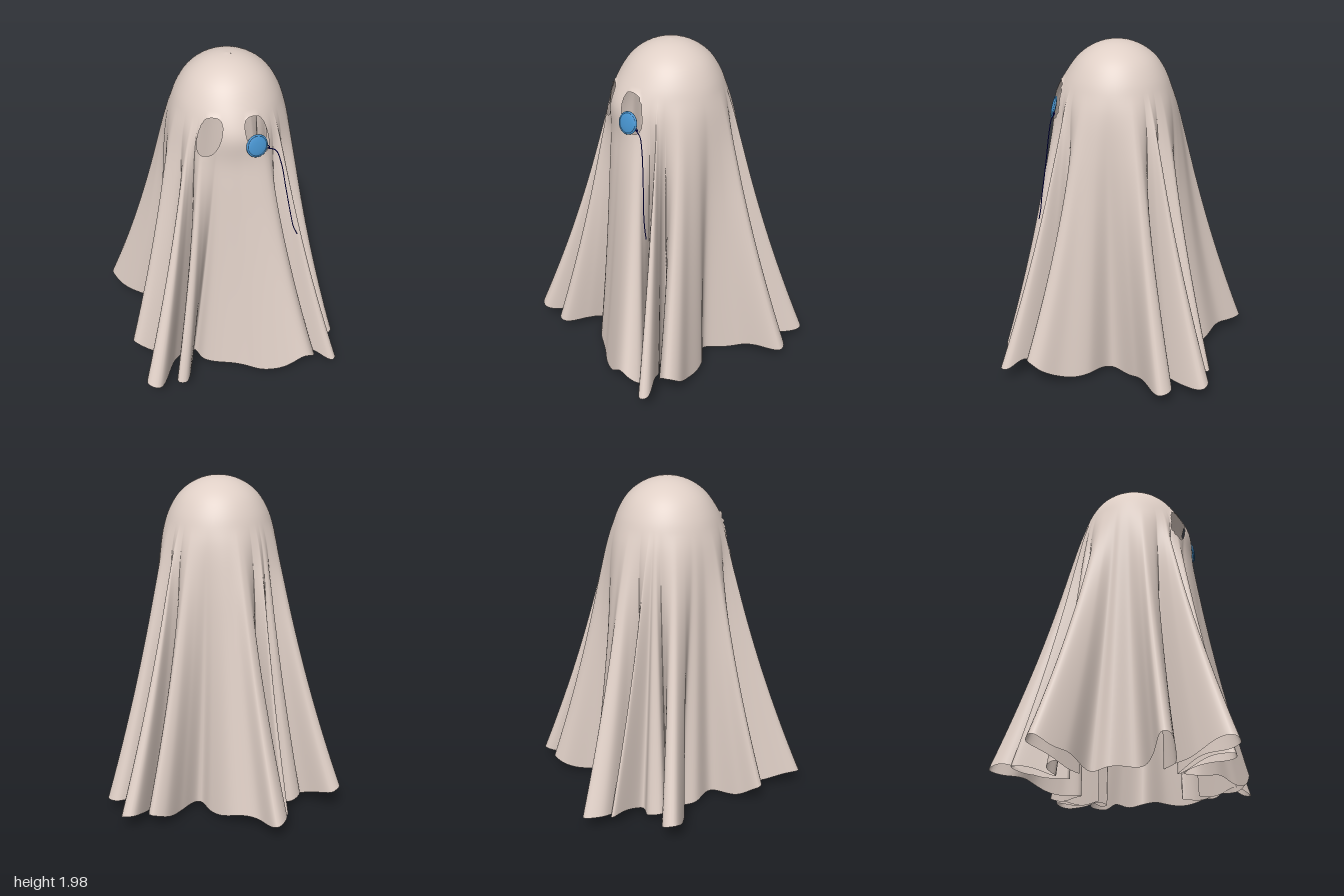
import * as THREE from 'three';

const CX = 0.035, CZ = 0.04, FOLD_TOP = 1.75, HEM_Y = 0.05;
const COLS = 640, ROWS = 80;

// Unfolded body under the folds: radius, height from the crown down
const PROFILE = [
  [0, 2], [0.08, 1.989], [0.16, 1.955], [0.233, 1.895], [0.292, 1.8], [0.325, 1.7],
  [0.343, 1.6], [0.357, 1.4], [0.362, 1.1], [0.362, 0.6], [0.362, HEM_Y],
];

// Outline of the hem seen from above, as x, z pairs, running from +x towards +z
const HEM = [
  0.372, 0.0, 0.52, 0.12, 0.6, 0.27, 0.67, 0.39, 0.65, 0.46, 0.58, 0.46, 0.45, 0.36, 0.32, 0.25, // left panel
  0.36, 0.32, 0.5, 0.42, 0.66, 0.59, 0.64, 0.63, 0.5, 0.54, 0.27, 0.36, // front left fold
  0.43, 0.48, 0.53, 0.56, 0.5, 0.63, 0.4, 0.65, 0.2, 0.61, 0.1, 0.57, -0.05, 0.52, -0.16, 0.45, -0.21, 0.37, // front panel
  -0.24, 0.52, -0.29, 0.67, -0.34, 0.67, -0.33, 0.58, -0.24, 0.34, // front right folds
  -0.34, 0.48, -0.46, 0.72, -0.53, 0.69, -0.45, 0.5, -0.27, 0.27,
  -0.4, 0.37, -0.57, 0.38, -0.6, 0.34, -0.5, 0.27, -0.35, 0.15, // right panel
  -0.41, 0.0, -0.39, -0.1, -0.58, -0.18, -0.71, -0.32, -0.66, -0.37, -0.5, -0.26, -0.34, -0.17, // back right folds
  -0.47, -0.27, -0.42, -0.34, -0.31, -0.32, -0.38, -0.56, -0.36, -0.56, -0.22, -0.27,
  -0.3, -0.45, -0.37, -0.62, -0.31, -0.72, -0.2, -0.6, -0.03, -0.53, 0.08, -0.42, 0.15, -0.32, // back panel
  0.25, -0.43, 0.35, -0.58, 0.43, -0.6, 0.43, -0.45, 0.32, -0.26, // back left folds
  0.42, -0.4, 0.53, -0.61, 0.6, -0.59, 0.5, -0.38, 0.33, -0.21,
  0.5, -0.34, 0.65, -0.41, 0.71, -0.35, 0.5, -0.17,
];

// Places where the hem curls up: x, z, lift
const CURLS = [[0.46, 0.63, 0.08], [0.64, 0.46, 0.08], [-0.71, -0.32, 0.06], [-0.59, 0.36, 0.05], [0.6, -0.58, -0.03]];

// Eye openings: centre x, centre y, slant
const EYES = [[-0.1, 1.665, 0.25], [0.158, 1.665, -0.25]];

function hemPoints() {
  const pts = [];
  for (let i = 0; i < HEM.length; i += 2) pts.push(new THREE.Vector3(HEM[i], 0, HEM[i + 1]));
  const curve = new THREE.CatmullRomCurve3(pts, true, 'centripetal');
  curve.arcLengthDivisions = 3000;
  const hem = curve.getSpacedPoints(COLS).slice(0, COLS);
  hem.forEach((p, j) => {
    const r = Math.hypot(p.x - CX, p.z - CZ);
    p.y = 0.055 + 0.18 * (r - 0.5) + 0.014 * Math.sin(j * Math.PI * 2 * 29 / COLS);
    for (const [x, z, lift] of CURLS) p.y += lift * Math.exp(-((p.x - x) ** 2 + (p.z - z) ** 2) / 0.008);
    p.y = Math.max(p.y, 0.005);
  });
  return hem;
}

// Angle round the head for each hem point, averaged so that the folds gather evenly
function headAngles(hem) {
  const raw = [];
  hem.forEach((p, j) => {
    let a = Math.atan2(p.z - CZ, p.x - CX);
    if (j > 0) a += Math.PI * 2 * Math.round((raw[j - 1] - a) / (Math.PI * 2));
    raw.push(a);
  });
  const W = 40;
  return raw.map((_, j) => {
    let sum = 0;
    for (let k = j - W; k <= j + W; k++) {
      const turn = Math.floor(k / COLS);
      sum += raw[k - turn * COLS] + turn * Math.PI * 2;
    }
    return sum / (2 * W + 1);
  });
}

// Push a point that lies in an eye opening out to its rim
function openEye(p) {
  if (p.z < 0.1) return false;
  for (const [ex, ey, slant] of EYES) {
    const dy = p.y - ey, dx = p.x - ex - slant * dy;
    const d = Math.pow(Math.abs(dx / 0.06) ** 2.6 + Math.abs(dy / 0.11) ** 2.6, 1 / 2.6);
    if (d < 1) {
      const k = 1 / Math.max(d, 0.05);
      p.x = ex + (dx + slant * dy) * k;
      p.y = ey + dy * k;
      return true;
    }
  }
  return false;
}

function sheetGeometry() {
  const hem = hemPoints(), angles = headAngles(hem);
  const profile = new THREE.CatmullRomCurve3(PROFILE.map(([r, y]) => new THREE.Vector3(r, y, 0)))
    .getSpacedPoints(ROWS);
  const pos = [], inside = [], index = [];
  const p = new THREE.Vector3();
  for (const { x: r, y } of profile) {
    // Folds deepen from the shoulders to the hem
    const t = Math.max(0, (FOLD_TOP - y) / (FOLD_TOP - HEM_Y)), f = Math.pow(t, 1.3);
    for (let j = 0; j < COLS; j++) {
      const c = Math.cos(angles[j]), s = Math.sin(angles[j]);
      p.set(
        THREE.MathUtils.lerp(CX + r * c, hem[j].x, f),
        y + (hem[j].y - HEM_Y) * t * t,
        THREE.MathUtils.lerp(CZ + r * s, hem[j].z, f));
      // Slight bulge of the face
      p.z += 0.03 * Math.max(0, s) * Math.exp(-(((p.x - CX) / 0.24) ** 2) - ((p.y - 1.68) / 0.12) ** 2);
      inside.push(openEye(p));
      pos.push(p.x, p.y, p.z);
    }
  }
  const face = (a, b, c) => {
    if (!(inside[a] && inside[b] && inside[c])) index.push(a, b, c);
  };
  for (let i = 0; i < ROWS; i++) {
    for (let j = 0; j < COLS; j++) {
      const k = (j + 1) % COLS;
      const a = i * COLS + j, b = i * COLS + k, c = a + COLS, d = b + COLS;
      if (i > 0) face(a, b, c);
      face(b, d, c);
    }
  }
  const g = new THREE.BufferGeometry();
  g.setAttribute('position', new THREE.Float32BufferAttribute(pos, 3));
  g.setIndex(index);
  g.computeVertexNormals();
  return g;
}

function material(name, color, side = THREE.FrontSide) {
  const m = new THREE.MeshStandardMaterial({ color, side });
  m.name = name;
  return m;
}

export function createModel() {
  const model = new THREE.Group();
  model.name = 'sheetGhost';
  const cloth = material('cloth', 0xdfcfc6, THREE.DoubleSide);
  const blue = material('blueGlass', 0x4692cd);
  const navy = material('navyCord', 0x00008b);

  const add = (parent, name, geometry, mat) => {
    const mesh = new THREE.Mesh(geometry, mat);
    mesh.name = name;
    parent.add(mesh);
    return mesh;
  };

  add(model, 'sheet', sheetGeometry(), cloth);

  // Monocle: a thin lens with a rim, tilted with the face
  const monocle = new THREE.Group();
  monocle.name = 'monocle';
  monocle.position.set(0.155, 1.612, 0.392);
  monocle.rotation.set(-0.25, 0.32, 0, 'YXZ');
  add(monocle, 'lens', new THREE.SphereGeometry(0.06, 32, 16), blue).scale.z = 0.2;
  add(monocle, 'rim', new THREE.TorusGeometry(0.059, 0.006, 10, 40), blue);
  model.add(monocle);

  // Cord hanging from a small loop on the rim
  const loop = add(model, 'cordLoop', new THREE.TorusGeometry(0.009, 0.003, 6, 16), navy);
  loop.position.set(0.217, 1.588, 0.374);
  const path = new THREE.CatmullRomCurve3([
    [0.222, 1.58, 0.375], [0.262, 1.565, 0.378], [0.295, 1.48, 0.386],
    [0.325, 1.32, 0.4], [0.36, 1.13, 0.42], [0.378, 1.05, 0.425], [0.4, 1.0, 0.43],
  ].map((v) => new THREE.Vector3(...v)));
  add(model, 'cord', new THREE.TubeGeometry(path, 60, 0.003, 6), navy);

  return model;
}
